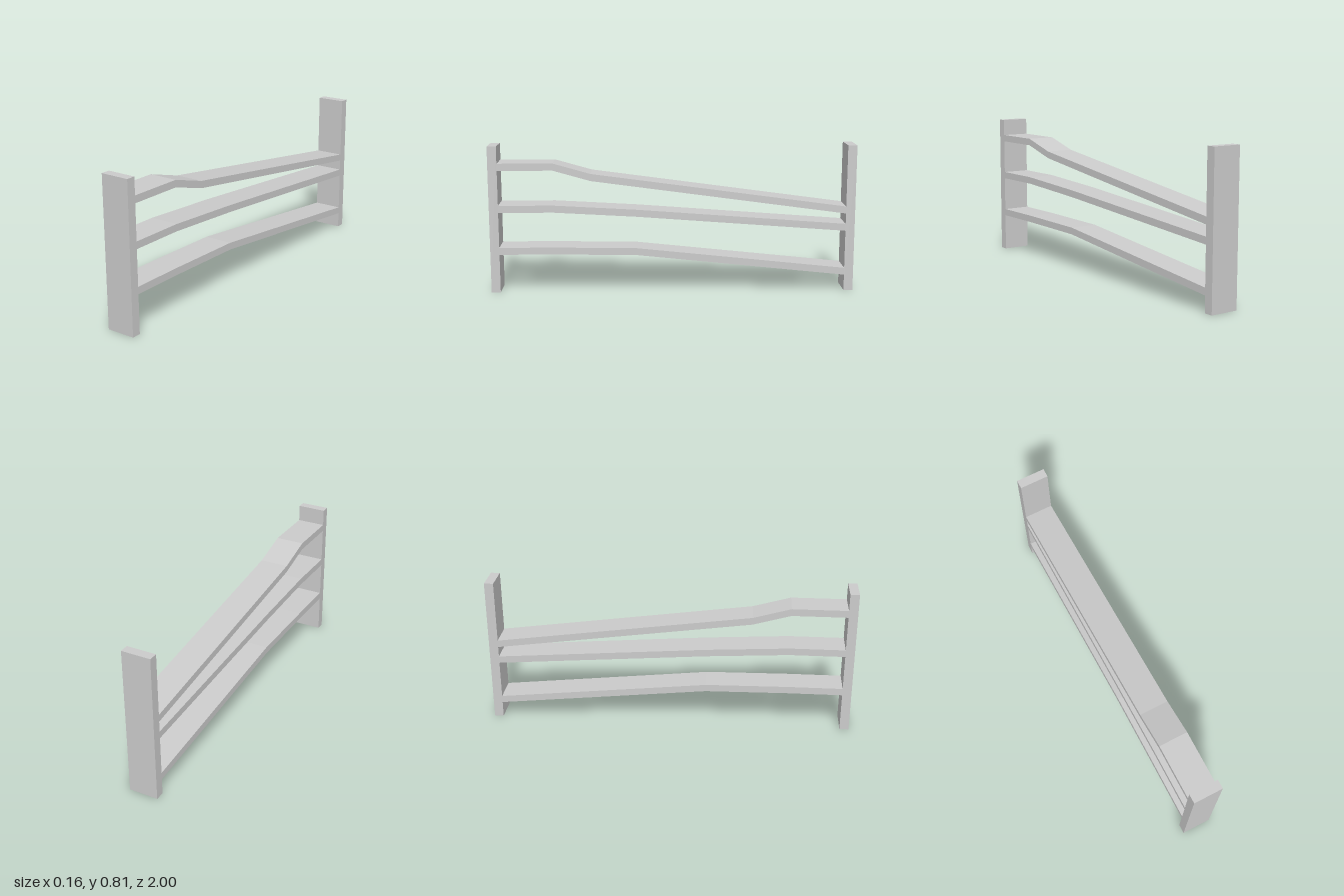
import * as THREE from 'three';

const WIDTH = 0.16, HEIGHT = 0.81, POST = 0.05, THICK = 0.039;

export function createModel() {
  const group = new THREE.Group();
  const material = new THREE.MeshStandardMaterial({ color: 0xcccccc, flatShading: true });

  const add = (name, geometry) => {
    const mesh = new THREE.Mesh(geometry, material);
    mesh.name = name;
    group.add(mesh);
    return mesh;
  };

  // Upright end posts
  for (const [name, side] of [['frontPost', 1], ['backPost', -1]]) {
    add(name, new THREE.BoxGeometry(WIDTH, HEIGHT, POST))
      .position.set(0, HEIGHT / 2, side * (1 - POST / 2));
  }

  // Bent slats: [z, y] points along the top edge, thickened downwards
  const slats = {
    topSlat: [[0.95, 0.717], [0.65, 0.717], [0.445, 0.659], [-0.95, 0.473]],
    middleSlat: [[0.95, 0.486], [0.65, 0.486], [0.2, 0.461], [-0.95, 0.376]],
    bottomSlat: [[0.95, 0.252], [0.65, 0.252], [0.2, 0.246], [-0.95, 0.127]],
  };
  for (const [name, top] of Object.entries(slats)) {
    const bottom = top.map(([z, y]) => [z, y - THICK]).reverse();
    const outline = [...top, ...bottom].map(([z, y]) => new THREE.Vector2(-z, y));
    const geometry = new THREE.ExtrudeGeometry(new THREE.Shape(outline), { depth: WIDTH, bevelEnabled: false });
    geometry.translate(0, 0, -WIDTH / 2).rotateY(Math.PI / 2);
    add(name, geometry);
  }
  return group;
}
